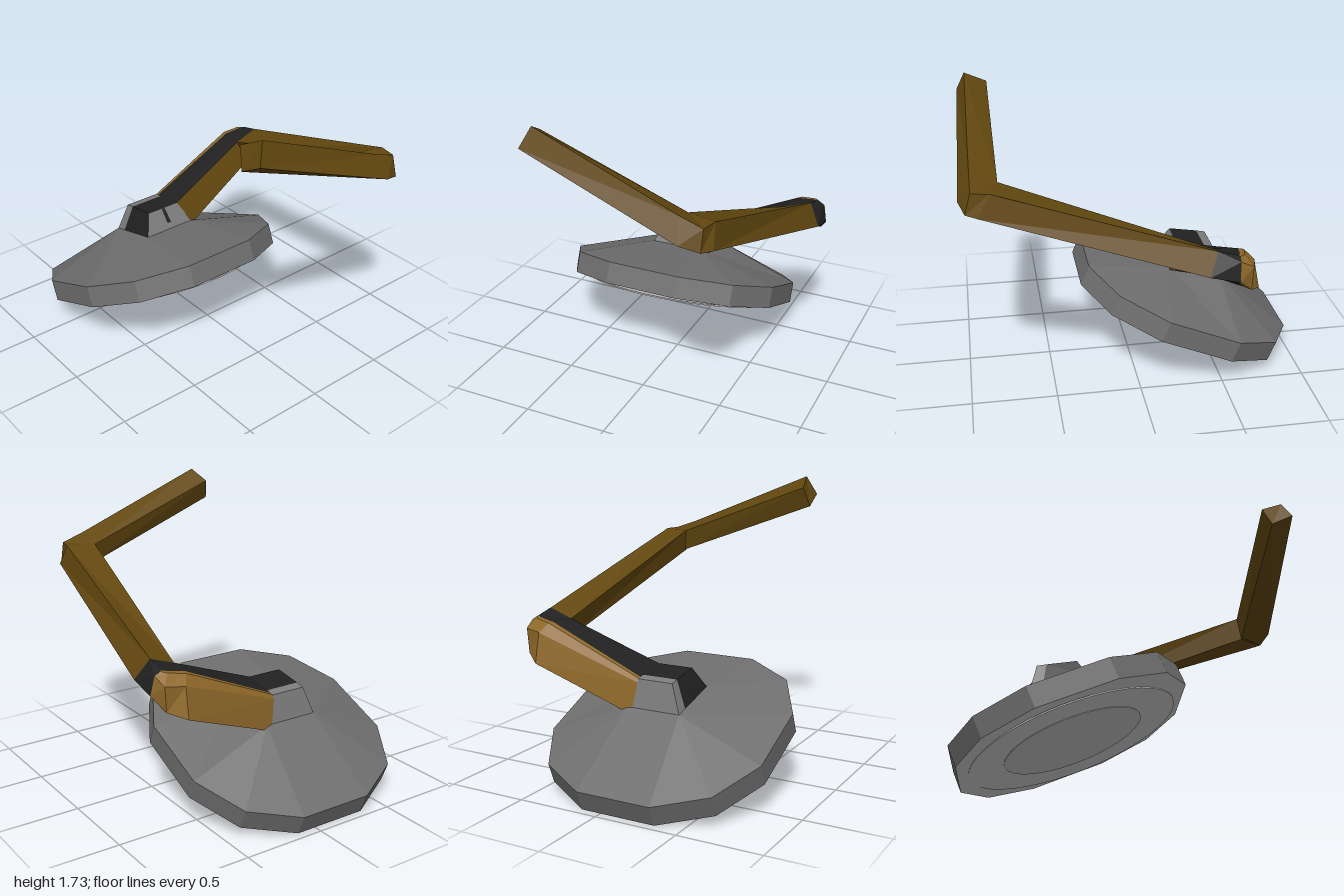
import * as THREE from 'three';

const mat = (name, color) => {
  const m = new THREE.MeshStandardMaterial({ color });
  m.name = name;
  return m;
};

// Flat-shaded mesh from a list of quads / polygons (corner arrays)
function facetMesh(name, polys, material) {
  const pos = [];
  for (const p of polys) {
    for (let i = 1; i < p.length - 1; i++) {
      const [a, b, c] = [p[0], p[i], p[i + 1]].map(q => new THREE.Vector3(...q));
      if (b.clone().sub(a).cross(c.clone().sub(a)).length() < 1e-7) continue;
      pos.push(...a.toArray(), ...b.toArray(), ...c.toArray());
    }
  }
  const g = new THREE.BufferGeometry();
  g.setAttribute('position', new THREE.Float32BufferAttribute(pos, 3));
  g.computeVertexNormals();
  const m = new THREE.Mesh(g, material);
  m.name = name;
  return m;
}

// Side quads joining two closed loops
const band = (s, t) => s.map((a, j) => {
  const k = (j + 1) % s.length;
  return [a, t[j], t[k], s[k]];
});

export function createModel() {
  const model = new THREE.Group();
  model.name = 'mirrorWithStalk';
  const grey = mat('grey', 0x6e6e6e);
  const paleGrey = mat('paleGrey', 0x7c7c7c);
  const silver = mat('silver', 0xc6c6c6);
  const dullSilver = mat('dullSilver', 0xbcbcbc);
  const black = mat('black', 0x212121);
  const brown = mat('brown', 0x62470f);
  const paleBrown = mat('paleBrown', 0x8e6829);

  // Tilted twelve-sided disc
  const disc = new THREE.Group();
  disc.name = 'disc';
  disc.position.set(-0.322, 0.265, 0.11);
  disc.rotation.z = 0.398;
  const quarter = [[0.68, 0.23], [0.523, 0.523], [0.23, 0.68]];
  const ring = y => [0, 1, 2, 3].flatMap(q => quarter.map(([x, z]) => {
    const c = [1, 0, -1, 0][q], s = [0, 1, 0, -1][q];
    return [x * c - z * s, y, x * s + z * c];
  }));
  const low = ring(0), high = ring(0.13);
  disc.add(facetMesh('discRim', band(low, high), grey));
  disc.add(facetMesh('discFace', [low], silver));

  // Sloping back of the disc closes onto the square foot of the neck
  const corners = [[0.2, 0.263, 0.17], [-0.1375, 0.313, 0.17], [-0.1375, 0.313, -0.17], [0.2, 0.263, -0.17]];
  const foot = high.map((_, k) => corners[Math.floor(k / 3)]);
  disc.add(facetMesh('discBack', band(high, foot), grey));

  // Slightly skewed round plates on the face
  [['outerFacePlate', 0.62, -0.012, silver], ['innerFacePlate', 0.413, -0.015, dullSilver]].forEach(([name, r, y, m]) => {
    const plate = new THREE.Mesh(new THREE.CylinderGeometry(r, r, 0.008, 40), m);
    plate.name = name;
    plate.position.y = y;
    plate.rotation.z = -0.024;
    disc.add(plate);
  });
  model.add(disc);

  // Tapered neck: [right, split, left] points, front row then back row
  const row = (p, zf, zb) => [
    ...p.map(([x, y]) => [x, y, zf]),
    ...p.slice().reverse().map(([x, y]) => [x, y, zb]),
  ];
  const base = row([[-0.24, 0.585], [-0.5, 0.518], [-0.57, 0.5]], 0.28, -0.06);
  const top = row([[-0.31, 0.705], [-0.485, 0.676], [-0.54, 0.665]], 0.22, 0);
  const sides = band(base, top);
  const neck = new THREE.Group();
  neck.name = 'neck';
  neck.add(
    facetMesh('neckBlack', [sides[0], [top[0], top[5], top[4], top[1]]], black),
    facetMesh('neckGrey', [...sides.slice(1), [top[1], top[4], top[3], top[2]]], paleGrey),
  );
  // Thin dark mark on the side
  neck.add(facetMesh('neckMark', [[
    [-0.256, 0.62, 0.115], [-0.256, 0.62, 0.088], [-0.306, 0.704, 0.1], [-0.306, 0.704, 0.122],
  ]], black));
  model.add(neck);

  // Stalk sections: top inner, strap edge, top outer, bevel, bottom outer, lower strap edge, bottom inner
  const F = [-0.385, 0.93, -0.565], G = [-0.33, 0.8, -0.61];
  const T = [-0.385, 0.983, -0.715], K = [-0.33, 0.86, -0.785];
  const F2 = [0.78, 1.35, -0.42], G2 = [0.81, 1.21, -0.44];
  const T2 = [0.83, 1.353, -0.592], M2 = [0.93, 1.352, -0.57], E2 = [0.93, 1.4, -0.43];
  const plainSection = (a, t, k, g) => [a, t, t, t, k, k, g];
  const s = [
    [[-0.31, 0.705, 0], [-0.515, 0.67, 0], [-0.535, 0.666, 0], [-0.55, 0.645, 0],
      [-0.575, 0.46, -0.03], [-0.5, 0.48, -0.035], [-0.24, 0.55, -0.05]],
    [F, [-0.53, 0.932, -0.59], [-0.562, 0.93, -0.6], [-0.615, 0.88, -0.635],
      [-0.65, 0.7, -0.64], [-0.578, 0.723, -0.645], G],
    [F, [-0.515, 0.948, -0.69], [-0.54, 0.945, -0.7], [-0.585, 0.89, -0.745],
      [-0.58, 0.74, -0.735], [-0.535, 0.765, -0.74], G],
    [F, [-0.5, 0.953, -0.72], [-0.51, 0.95, -0.725], [-0.505, 0.93, -0.76],
      [-0.5, 0.82, -0.785], [-0.49, 0.82, -0.785], G],
    plainSection(F, T, K, G),
    plainSection(F2, T2, [0.9, 1.225, -0.612], G2),
    plainSection(F2, M2, [0.965, 1.232, -0.57], G2),
    plainSection(F2, E2, [1.0, 1.265, -0.46], [0.81, 1.22, -0.43]),
    plainSection([0.79, 1.67, 0.43], [0.92, 1.735, 0.4], [0.97, 1.62, 0.455], [0.84, 1.55, 0.46]),
  ];
  // Face colours by stretch: black strap above and below, brown flanks
  const lower = [black, paleBrown, paleBrown, paleBrown, paleBrown, black, brown];
  const strap = Array(7).fill(black), plain = Array(7).fill(brown);
  const scheme = [lower, lower, lower, strap, plain, plain, plain, plain];
  const groups = new Map([[black, []], [paleBrown, []], [brown, []]]);
  scheme.forEach((cols, i) => band(s[i], s[i + 1]).forEach((q, j) => groups.get(cols[j]).push(q)));
  groups.get(brown).push(s[8].slice().reverse());

  const stalk = new THREE.Group();
  stalk.name = 'stalk';
  stalk.add(
    facetMesh('stalkStrap', groups.get(black), black),
    facetMesh('stalkOuterFlank', groups.get(paleBrown), paleBrown),
    facetMesh('stalkArm', groups.get(brown), brown),
  );
  model.add(stalk);
  return model;
}
